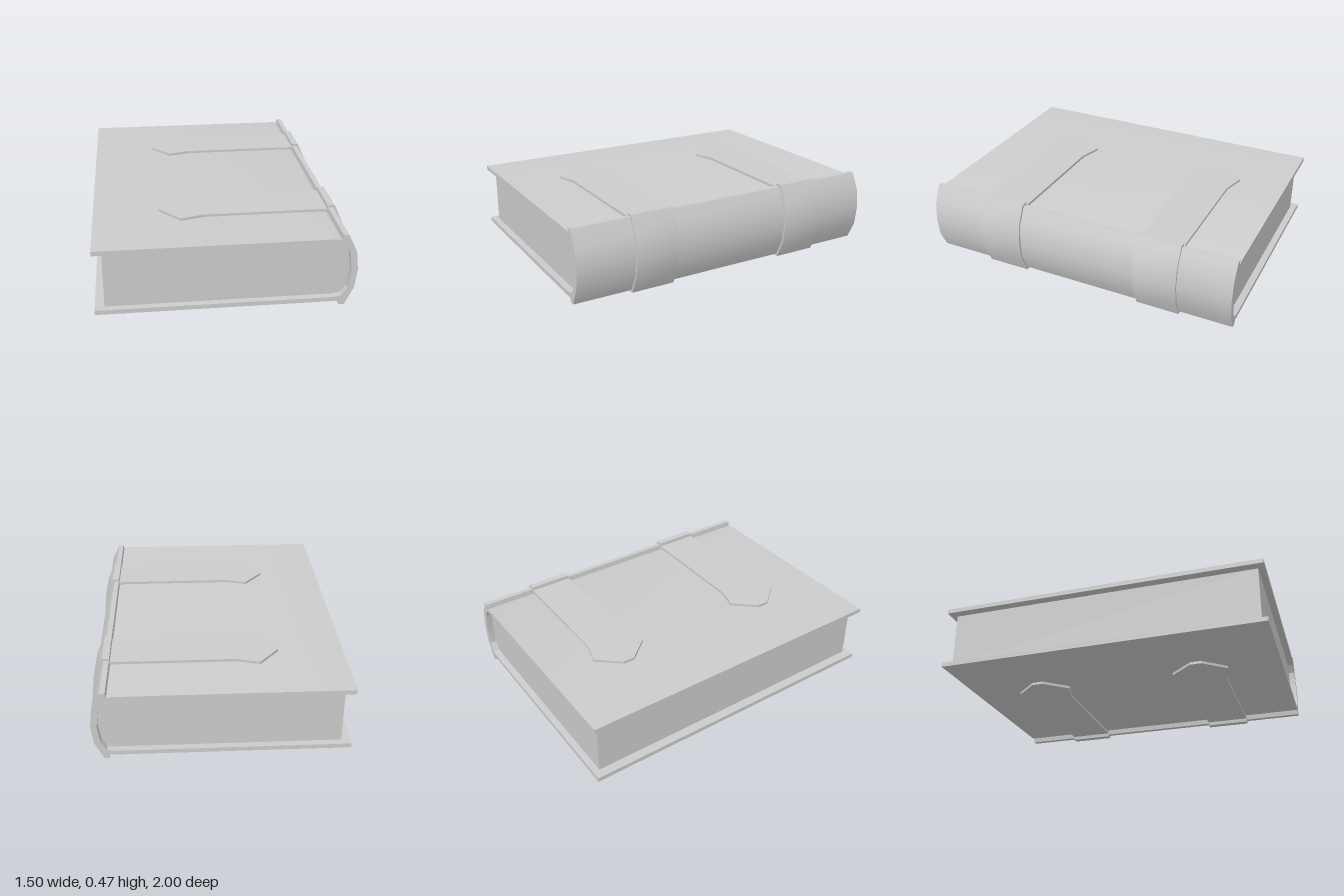
import * as THREE from 'three';
import { toCreasedNormals } from 'three/addons/utils/BufferGeometryUtils.js';

const MID = 0.2375; // height of the horizontal symmetry plane
const material = new THREE.MeshStandardMaterial({ color: 0xcccccc });

const shapeOf = (points) => new THREE.Shape(points.map(([x, y]) => new THREE.Vector2(x, y)));

// Continues an upper half profile with its reflection below MID
function mirrorY(half) {
  const lower = half.filter(([, y]) => Math.abs(y - MID) > 1e-6).map(([x, y]) => [x, 2 * MID - y]);
  return [...half, ...lower.reverse()];
}

// Extrudes an x-y profile along z, smoothing only the gentle spine bends
function extrudeZ(name, points, z0, z1) {
  let geo = new THREE.ExtrudeGeometry(shapeOf(points), { depth: z1 - z0, bevelEnabled: false });
  geo.translate(0, 0, z0);
  geo = toCreasedNormals(geo, 0.42);
  const mesh = new THREE.Mesh(geo, material);
  mesh.name = name;
  return mesh;
}

// Flat leather tongue with an arrow-shaped tip, lying from height y0 to y1
function strapTongue(name, z, y0, y1) {
  const side = [[0.62, 0.136], [-0.1, 0.136], [-0.24, 0.174], [-0.36, 0.035]];
  const outline = [...side, ...side.map(([x, w]) => [x, -w]).reverse()];
  const geo = new THREE.ExtrudeGeometry(shapeOf(outline), { depth: y1 - y0, bevelEnabled: false });
  geo.rotateX(-Math.PI / 2);
  geo.translate(0, y0, z);
  const mesh = new THREE.Mesh(geo, material);
  mesh.name = name;
  return mesh;
}

export function createModel() {
  const book = new THREE.Group();
  book.name = 'book';

  // Binding: both covers, hinge grooves and rounded spine in one C-shaped profile
  const outer = mirrorY([
    [-0.75, 0.437], [0.61, 0.437], [0.635, 0.43], [0.64, 0.461],
    [0.671, 0.461], [0.722, 0.353], [0.736, MID],
  ]);
  const inner = mirrorY([
    [-0.75, 0.41], [0.605, 0.41], [0.653, 0.4], [0.684, 0.353], [0.7, MID],
  ]);
  book.add(extrudeZ('binding', [...outer, ...inner.reverse()], -1, 1));

  // Page block, set back from the cover edges
  const pages = mirrorY([
    [-0.695, 0.41], [0.605, 0.41], [0.653, 0.4], [0.684, 0.353], [0.7, MID],
  ]);
  book.add(extrudeZ('pages', pages, -0.96, 0.96));

  // Two straps, each wrapping the spine and ending in a tongue on both covers
  const wrapOuter = mirrorY([
    [0.62, 0.453], [0.635, 0.453], [0.638, 0.475], [0.68, 0.475], [0.735, 0.355], [0.75, MID],
  ]);
  const wrapInner = mirrorY([
    [0.62, 0.432], [0.636, 0.428], [0.645, 0.457], [0.668, 0.457], [0.718, 0.353], [0.732, MID],
  ]);
  const wrap = [...wrapOuter, ...wrapInner.reverse()];
  for (const z of [-0.534, 0.503]) {
    const strap = new THREE.Group();
    strap.name = 'strap';
    strap.add(
      extrudeZ('spineBand', wrap, z - 0.136, z + 0.136),
      strapTongue('topTongue', z, 0.437, 0.453),
      strapTongue('bottomTongue', z, 2 * MID - 0.453, 2 * MID - 0.437),
    );
    book.add(strap);
  }
  return book;
}
